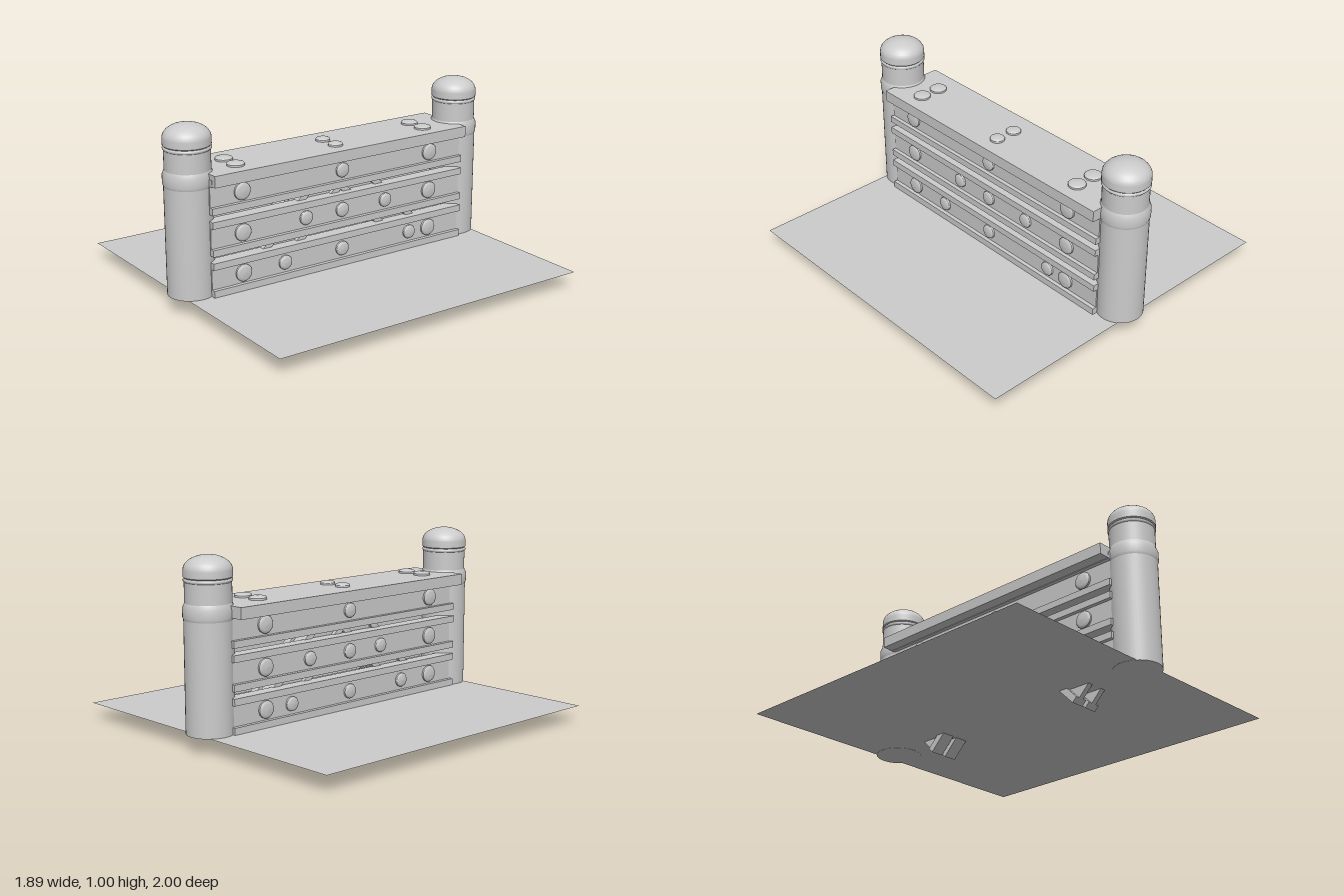
import * as THREE from 'three';

const GREY = new THREE.MeshStandardMaterial({ color: 0xcccccc });

function part(name, geometry, parent, x = 0, y = 0, z = 0) {
  const mesh = new THREE.Mesh(geometry, GREY);
  mesh.name = name;
  mesh.position.set(x, y, z);
  parent.add(mesh);
  return mesh;
}

// Smooth lathe bands joined at sharp edges: each band is a list of [radius, height]
function latheBands(name, bands, parent, segments) {
  const group = new THREE.Group();
  group.name = name;
  bands.forEach((band) => {
    const points = band.map(([r, y]) => new THREE.Vector2(r, y));
    part(name + 'Band', new THREE.LatheGeometry(points, segments), group);
  });
  parent.add(group);
  return group;
}

// Beam with an I-shaped section, running along z and centred on the origin
function beamGeometry(length) {
  const w = 0.0375, h = 0.0935, web = 0.015, lip = 0.037;
  const shape = new THREE.Shape([
    [-w, -h], [w, -h], [w, -h + lip], [web, -h + lip], [web, h - lip], [w, h - lip],
    [w, h], [-w, h], [-w, h - lip], [-web, h - lip], [-web, -h + lip], [-w, -h + lip],
  ].map(([x, y]) => new THREE.Vector2(x, y)));
  const geometry = new THREE.ExtrudeGeometry(shape, { depth: length, bevelEnabled: false });
  return geometry.translate(0, 0, -length / 2);
}

// Low rounded bolt head, base on y = 0
function bolt(parent, radius) {
  const r = radius;
  return latheBands('bolt', [
    [[r, -0.004], [r, 0.01]],
    [[r, 0.01], [r * 0.92, 0.015], [r * 0.65, 0.019], [0, 0.021]],
  ], parent, 24);
}

function post(z, parent) {
  const dome = [];
  for (let i = 0; i <= 8; i++) {
    const a = (i / 8) * Math.PI / 2;
    dome.push([0.125 * Math.cos(a), 0.925 + 0.075 * Math.sin(a)]);
  }
  dome[8][0] = 0;
  const group = latheBands('post', [
    [[0, 0.088], [0.126, 0.088]],
    [[0.126, 0.088], [0.126, 0.675]],
    [[0.126, 0.675], [0.131, 0.69], [0.131, 0.735], [0.12, 0.76]],
    [[0.12, 0.76], [0.12, 0.865]],
    [[0.12, 0.865], [0.125, 0.87], [0.125, 0.878], [0.119, 0.884]],
    [[0.119, 0.884], [0.125, 0.89]],
    [[0.125, 0.89], ...dome],
  ], parent, 40);
  group.position.z = z;
}

export function createModel() {
  const model = new THREE.Group();
  model.name = 'barrier';

  // Ground sheet
  const ground = part('groundSheet', new THREE.PlaneGeometry(1.89, 1.895).rotateX(-Math.PI / 2), model, 0, 0.089, -0.004);
  ground.material = GREY.clone();
  ground.material.side = THREE.DoubleSide;

  // End posts with domed caps
  [0.87, -0.872].forEach((z) => post(z, model));

  // Top board and its bolts
  part('topBoard', new THREE.BoxGeometry(0.365, 0.062, 1.635), model, -0.01, 0.719, -0.003);
  [[0.625, 0.047], [0, 0.04], [-0.597, 0.047]].forEach(([z, r]) => {
    [-0.055, 0.062].forEach((x) => bolt(model, r).position.set(x, 0.75, z));
  });

  // Three rails on each side, with bolts on the outer faces
  const rail = beamGeometry(1.635);
  const sides = [
    { x: 0.107, dir: 1, low: [0.37, -0.462] },
    { x: -0.093, dir: -1, low: [0.4, -0.42] },
  ];
  sides.forEach(({ x, dir, low }) => {
    const rows = [[0.183, low], [0.405, [0.235, -0.29]], [0.628, []]];
    rows.forEach(([y, extra]) => {
      part('rail', rail, model, x, y, -0.001);
      const heads = [[0.628, 0.047], [-0.597, 0.047], [0, 0.04], ...extra.map((z) => [z, 0.039])];
      heads.forEach(([z, r]) => {
        const head = bolt(model, r);
        head.position.set(x + dir * 0.015, y, z);
        head.rotation.z = -dir * Math.PI / 2;
      });
    });
  });

  // Diagonal braces leaning together, one pair behind each rail set
  const brace = beamGeometry(0.768);
  [-0.0325, 0.065].forEach((x) => {
    [[0.298, 1], [-0.315, -1]].forEach(([z, dir]) => {
      part('brace', brace, model, x, 0.338, z).rotation.x = dir * Math.PI / 4;
    });
  });

  return model;
}
